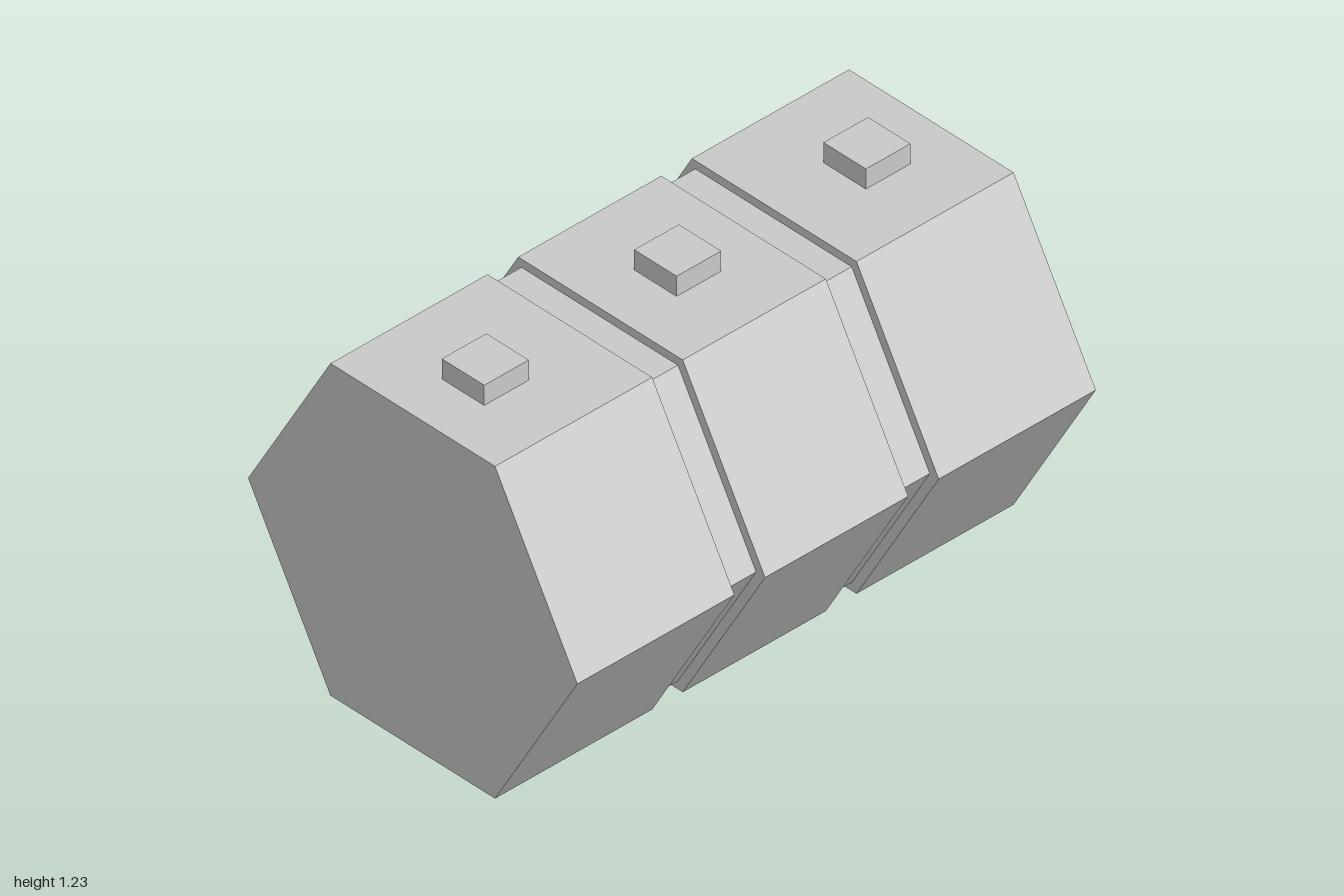
import * as THREE from 'three';

const AXIS_Y = 0.578; // height of the long axis
const TOP_Y = 1.157; // height of the flat top

export function createModel() {
  const model = new THREE.Group();
  model.name = 'hexagonalBarrel';
  const material = new THREE.MeshStandardMaterial({ color: 0xcccccc, flatShading: true });

  const add = (name, geometry, x, y, z) => {
    const mesh = new THREE.Mesh(geometry, material);
    mesh.name = name;
    mesh.position.set(x, y, z);
    model.add(mesh);
  };

  // Hexagonal prism along z, with corners pointing to +x and -x
  const addPrism = (name, radius, z0, z1, x = 0) => {
    const geometry = new THREE.CylinderGeometry(radius, radius, z1 - z0, 6, 1, false, Math.PI / 2);
    geometry.rotateX(Math.PI / 2);
    add(name, geometry, x, AXIS_Y, (z0 + z1) / 2);
  };

  // Three large sections
  addPrism('frontSection', 0.667, 0.394, 1);
  addPrism('middleSection', 0.667, -0.276, 0.276);
  addPrism('backSection', 0.667, -1, -0.394);

  // Narrower necks joining the sections
  addPrism('frontNeck', 0.634, 0.276, 0.394, -0.003);
  addPrism('backNeck', 0.634, -0.394, -0.276, -0.003);

  // Small square block on top of each section
  const blocks = { frontBlock: 0.74, middleBlock: -0.002, backBlock: -0.732 };
  for (const [name, z] of Object.entries(blocks)) {
    add(name, new THREE.BoxGeometry(0.172, 0.07, 0.172), 0.021, TOP_Y + 0.035, z);
  }

  return model;
}
